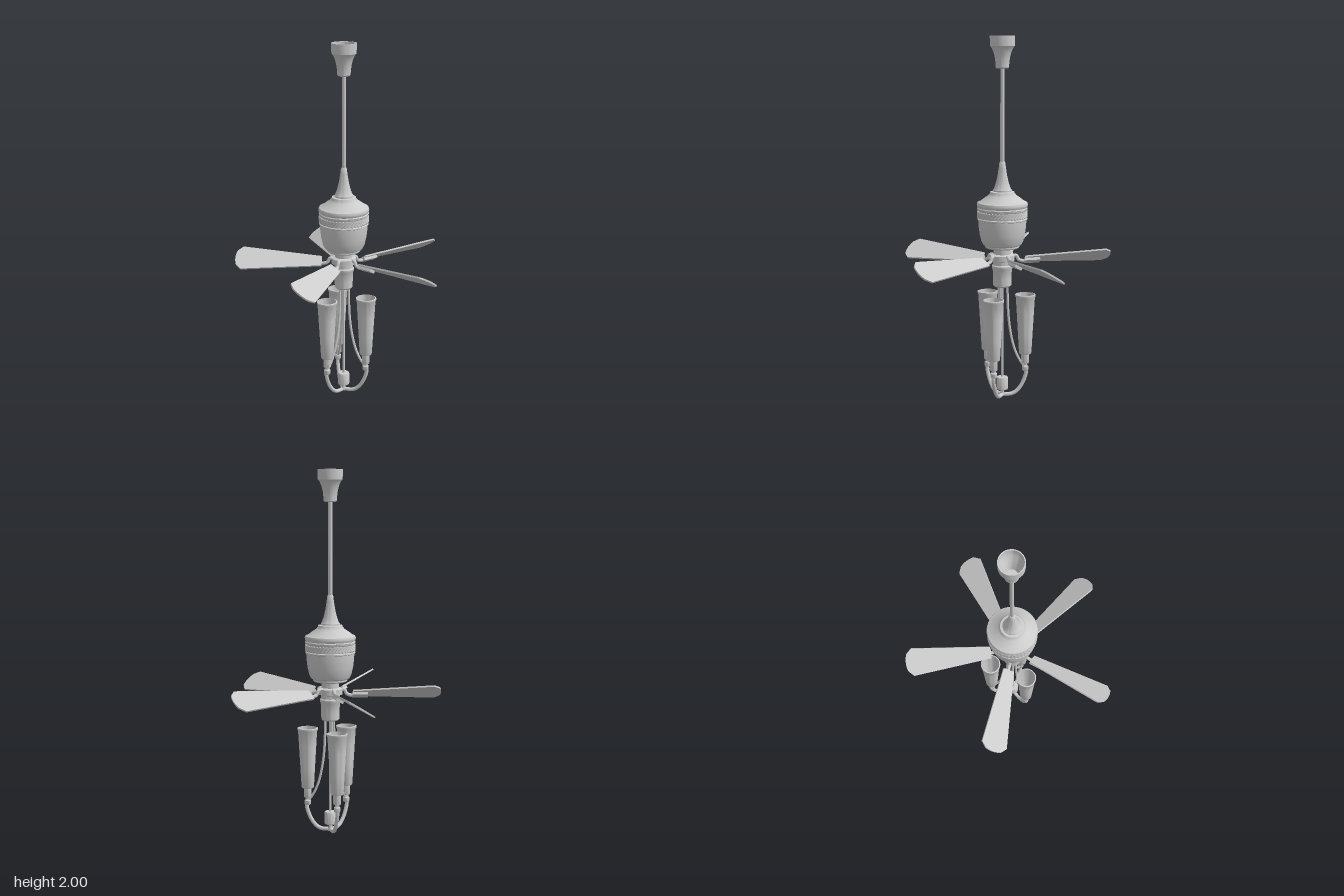
import * as THREE from 'three';
import { toCreasedNormals } from 'three/addons/utils/BufferGeometryUtils.js';

const grey = new THREE.MeshStandardMaterial({ color: 0xcccccc, side: THREE.DoubleSide });

function add(parent, name, geometry) {
  const mesh = new THREE.Mesh(geometry, grey);
  mesh.name = name;
  parent.add(mesh);
  return mesh;
}

// Turned part from [radius, height] pairs, listed bottom to top
function turned(parent, name, profile, sides = 40) {
  const points = profile.map(([r, y]) => new THREE.Vector2(r, y));
  return add(parent, name, toCreasedNormals(new THREE.LatheGeometry(points, sides), 0.6));
}

// Round tube through [radius, height] pairs in the XY plane
function bentTube(parent, name, path, radius) {
  const curve = new THREE.CatmullRomCurve3(path.map(([x, y]) => new THREE.Vector3(x, y, 0)));
  return add(parent, name, new THREE.TubeGeometry(curve, 28, radius, 10));
}

function bladeGeometry() {
  const s = new THREE.Shape();
  s.moveTo(0.125, -0.034);
  s.lineTo(0.57, -0.08);
  s.lineTo(0.6, -0.05);
  s.quadraticCurveTo(0.617, 0, 0.6, 0.05);
  s.lineTo(0.57, 0.08);
  s.lineTo(0.125, 0.034);
  s.closePath();
  const g = new THREE.ExtrudeGeometry(s, { depth: 0.009, bevelEnabled: false, curveSegments: 6 });
  return g.translate(0, 0, -0.0045);
}

export function createModel() {
  const model = new THREE.Group();
  model.name = 'ceilingFan';
  const fan = new THREE.Group();
  fan.name = 'fanAssembly';
  fan.position.set(0.017, 0, -0.03);
  model.add(fan);

  // Hollow ceiling cup and hanging rod
  turned(fan, 'canopy', [
    [0, 1.825], [0.03, 1.825], [0.036, 1.832], [0.036, 1.845], [0.04, 1.88], [0.047, 1.91],
    [0.058, 1.935], [0.067, 1.945], [0.068, 2], [0.062, 2], [0.061, 1.95], [0.045, 1.925], [0.03, 1.85], [0, 1.85],
  ]);
  turned(fan, 'downRod', [[0.0115, 1.3], [0.0115, 1.84]], 16);
  turned(fan, 'rodCover', [
    [0.052, 1.155], [0.052, 1.17], [0.046, 1.178], [0.035, 1.21], [0.026, 1.25], [0.02, 1.29],
    [0.016, 1.32], [0.013, 1.325], [0, 1.325],
  ]);

  // Motor housing
  turned(fan, 'motorHousing', [
    [0, 0.85], [0.088, 0.85], [0.095, 0.856], [0.095, 0.864], [0.106, 0.87], [0.116, 0.89],
    [0.125, 0.93], [0.13, 0.97], [0.132, 1.005], [0.137, 1.008], [0.137, 1.014], [0.132, 1.018],
    [0.132, 1.056], [0.137, 1.06], [0.138, 1.07], [0.134, 1.075], [0.138, 1.08], [0.14, 1.092],
    [0.136, 1.102], [0.122, 1.108], [0.1, 1.125], [0.078, 1.14], [0.068, 1.152], [0.066, 1.16], [0.052, 1.163], [0, 1.163],
  ], 56);

  // Slanted ribs of the rope band
  const band = new THREE.Group();
  band.name = 'ropeBand';
  fan.add(band);
  const ribGeometry = new THREE.CapsuleGeometry(0.005, 0.038, 3, 8).rotateZ(-0.75).translate(0, 1.037, 0.133);
  for (let i = 0; i < 44; i++) add(band, 'rib', ribGeometry).rotation.y = (i / 44) * Math.PI * 2;

  // Switch housing below the motor
  turned(fan, 'switchHousing', [
    [0, 0.632], [0.042, 0.632], [0.05, 0.64], [0.051, 0.68], [0.053, 0.73], [0.058, 0.738],
    [0.058, 0.75], [0.052, 0.756], [0.052, 0.775], [0.068, 0.78], [0.068, 0.81], [0.048, 0.816], [0.048, 0.852],
  ]);

  // Five pitched blades with their irons
  const bladeShape = bladeGeometry();
  for (let i = 0; i < 5; i++) {
    const unit = new THREE.Group();
    unit.name = 'bladeUnit';
    unit.rotation.y = THREE.MathUtils.degToRad(47 + 72 * i);
    fan.add(unit);
    const pitched = new THREE.Group();
    pitched.name = 'pitchedBlade';
    pitched.position.y = 0.783;
    pitched.rotation.set(THREE.MathUtils.degToRad(-32), 0, 0.025);
    unit.add(pitched);
    add(pitched, 'blade', bladeShape).rotation.x = -Math.PI / 2;
    add(pitched, 'bladeHolder', new THREE.BoxGeometry(0.085, 0.02, 0.045)).position.set(0.165, -0.01, 0);
    bentTube(unit, 'bladeIron', [[0.05, 0.805], [0.078, 0.803], [0.09, 0.782], [0.11, 0.774], [0.15, 0.776]], 0.01);
  }

  // Central stem, weight and bottom finial
  turned(fan, 'centreStem', [[0.007, 0.02], [0.007, 0.64]], 12);
  turned(fan, 'stemCap', [
    [0, 0.043], [0.03, 0.043], [0.033, 0.047], [0.033, 0.108], [0.03, 0.114], [0, 0.116],
  ]);
  turned(fan, 'finial', [[0, 0], [0.01, 0.002], [0.014, 0.012], [0.01, 0.024], [0.012, 0.044]], 16);

  // Three lights on curved arms
  for (let i = 0; i < 3; i++) {
    const light = new THREE.Group();
    light.name = 'lightUnit';
    light.rotation.y = (i * Math.PI * 2) / 3;
    fan.add(light);
    bentTube(light, 'upperArm', [
      [0.029, 0.645], [0.03, 0.56], [0.036, 0.45], [0.05, 0.35], [0.072, 0.265], [0.1, 0.205], [0.128, 0.165],
    ], 0.007);
    bentTube(light, 'lowerArm', [
      [0.132, 0.175], [0.136, 0.14], [0.126, 0.1], [0.104, 0.055], [0.077, 0.025], [0.05, 0.013], [0.012, 0.012],
    ], 0.011);
    const lamp = new THREE.Group();
    lamp.name = 'lamp';
    lamp.position.x = 0.13;
    light.add(lamp);
    turned(lamp, 'socket', [
      [0, 0.145], [0.015, 0.145], [0.018, 0.15], [0.018, 0.17], [0.012, 0.176], [0.012, 0.187],
      [0.02, 0.188], [0.022, 0.195], [0.022, 0.245], [0, 0.245],
    ], 24);
    turned(lamp, 'shade', [
      [0, 0.243], [0.032, 0.243], [0.035, 0.25], [0.041, 0.36], [0.048, 0.48], [0.053, 0.565],
      [0.057, 0.572], [0.057, 0.582], [0.051, 0.584], [0.045, 0.48], [0.037, 0.36], [0.03, 0.255], [0, 0.255],
    ], 32);
  }
  return model;
}
